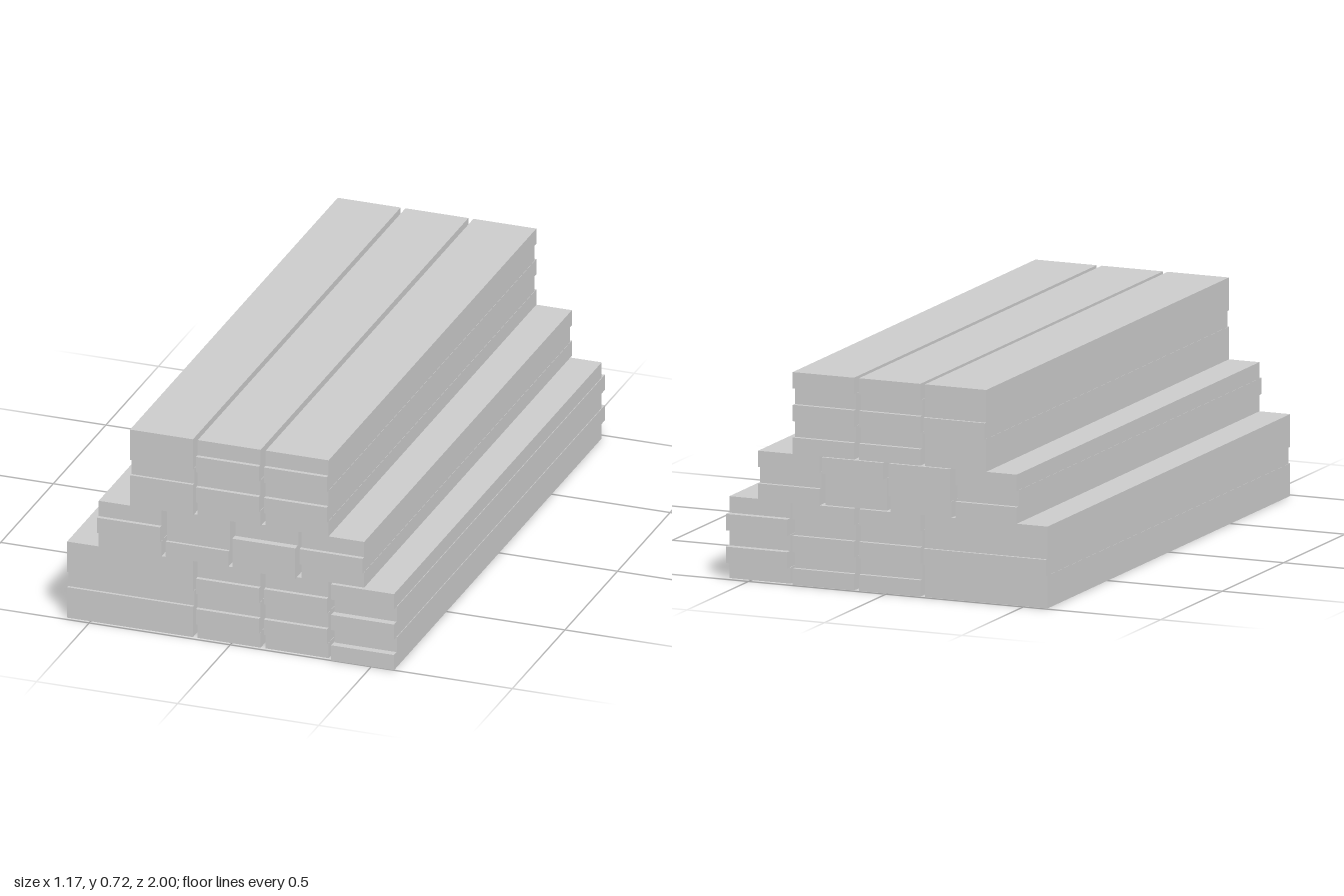
import * as THREE from 'three';

const T = 0.7225 / 13;   // plank thickness
const W = 0.223;         // plank width
const L = 1.975;         // plank length

// Each column: centre x, and one end offset per layer (bottom to top):
// 0 = flush, 1 = pushed forward, -1 = pushed back
const tiers = [
  { name: 'lowerStack', base: 0, columns: [
    [-0.472, [0, 0, -1, 0, 0]],
    [-0.249, [0, 0, -1, 0, 0]],
    [-0.009, [0, 1, 0, 1, 0]],
    [0.232, [0, 1, 0, 1, 0]],
    [0.470, [1, -1, 1, -1, 1]],
  ] },
  { name: 'middleStack', base: 5, columns: [
    [-0.360, [0, 1, 0]],
    [-0.123, [0, -1, -1]],
    [0.120, [1, 1, -1]],
    [0.358, [0, 1, 0]],
  ] },
  { name: 'upperStack', base: 8, columns: [
    [-0.249, [0, 0, -1, 0, 0]],
    [-0.009, [0, 1, 0, 1, 0]],
    [0.232, [0, 1, 0, 1, 0]],
  ] },
];

export function createModel() {
  const group = new THREE.Group();
  group.name = 'plankPile';
  const material = new THREE.MeshStandardMaterial({ color: 0xcccccc });
  const plankGeometry = new THREE.BoxGeometry(W, T, L);

  for (const { name, base, columns } of tiers) {
    const stack = new THREE.Group();
    stack.name = name;
    for (const [x, offsets] of columns) {
      offsets.forEach((push, layer) => {
        const plank = new THREE.Mesh(plankGeometry, material);
        plank.name = 'plank';
        // pushed planks also sit slightly sideways
        const z = push === 0 ? -0.002 : push * 0.0125;
        plank.position.set(x + (push < 0 ? 0.001 : -push * 0.001), (base + layer + 0.5) * T, z);
        stack.add(plank);
      });
    }
    group.add(stack);
  }
  return group;
}
